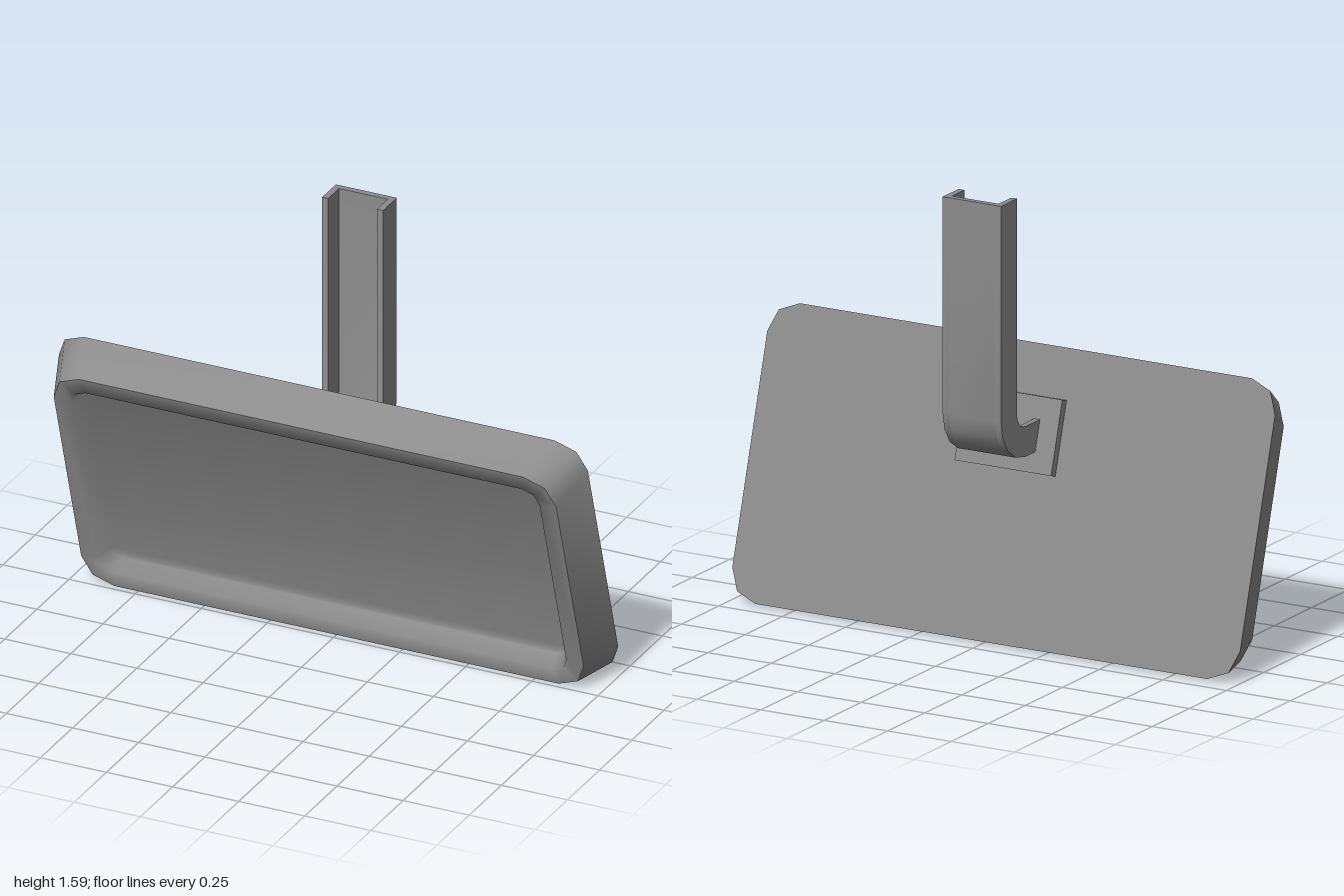
import * as THREE from 'three';
import { toCreasedNormals } from 'three/addons/utils/BufferGeometryUtils.js';

const grey = new THREE.MeshStandardMaterial({ color: 0x8c8c8c });
grey.name = 'painted grey metal';

function part(name, geometry) {
  const mesh = new THREE.Mesh(geometry, grey);
  mesh.name = name;
  return mesh;
}

// Rounded rectangle loop at depth z, counter-clockwise seen from +z.
function ring(w, h, r, z) {
  const right = [];
  for (const side of [-1, 1]) {
    for (let i = 0; i <= 2; i++) {
      const a = ((side - 1) / 2 + i / 2) * Math.PI / 2;
      right.push([w - r + r * Math.cos(a), side * (h - r) + r * Math.sin(a), z]);
    }
  }
  return [...right, ...right.map(([x, y]) => [-x, y, z]).reverse()];
}

// Skin between two loops.
function loft(a, b) {
  const out = [];
  a.forEach((p, i) => {
    const j = (i + 1) % a.length;
    out.push(p, a[j], b[j], p, b[j], b[i]);
  });
  return out;
}

// Fill a loop with strips running from side to side.
function fill(loop, flip) {
  const out = [], n = loop.length;
  for (let i = 0; i < n / 2 - 1; i++) {
    const r0 = loop[i], r1 = loop[i + 1], l0 = loop[n - 1 - i], l1 = loop[n - 2 - i];
    out.push(...(flip ? [r0, l0, l1, r0, l1, r1] : [l0, r0, r1, l0, r1, l1]));
  }
  return out;
}

function surface(points, crease) {
  const g = new THREE.BufferGeometry();
  g.setAttribute('position', new THREE.Float32BufferAttribute(points.flat(), 3));
  return toCreasedNormals(g, crease);
}

// Side profile of the bent arm between two bend radii, extruded across x.
function bentBand(outer, inner, x0, x1) {
  const cz = -0.09, cy = 0.82, top = 1.585;
  const plateZ = y => 0.08 - (1 - y) * 0.303;
  const arc = r => Array.from({ length: 5 }, (_, i) => {
    const a = Math.PI * (1 + i / 8);
    return new THREE.Vector2(cz + r * Math.cos(a), cy + r * Math.sin(a));
  });
  const shape = new THREE.Shape([
    new THREE.Vector2(cz - outer, top), ...arc(outer),
    new THREE.Vector2(plateZ(cy - outer), cy - outer),
    new THREE.Vector2(plateZ(cy - inner), cy - inner),
    ...arc(inner).reverse(), new THREE.Vector2(cz - inner, top),
  ]);
  const g = new THREE.ExtrudeGeometry(shape, { depth: x1 - x0, bevelEnabled: false });
  g.rotateY(-Math.PI / 2).translate(x1, 0, 0);
  return toCreasedNormals(g, 0.6);
}

export function createModel() {
  const model = new THREE.Group();
  model.name = 'wallLamp';

  // Tilted head: tapered housing with a softly shaded recessed front
  const head = new THREE.Group();
  head.name = 'head';
  head.position.set(0, 0.503, -0.04);
  head.rotation.x = 0.294;
  const back = ring(1, 0.517, 0.11, 0);
  const front = ring(0.95, 0.477, 0.11, 0.162);
  const lip = ring(0.885, 0.416, 0.06, 0.16);
  const floor = ring(0.86, 0.396, 0.04, 0.1);
  head.add(part('housing', surface([...fill(back, true), ...loft(back, front)], 0.9)));
  head.add(part('recessedFront', surface(
    [...loft(front, lip), ...loft(lip, floor), ...fill(floor, false)], 1.5)));

  // Mounting plate on the back
  const plate = part('mountingPlate', new THREE.BoxGeometry(0.38, 0.262, 0.03));
  plate.position.set(0, 0.209, -0.015);
  head.add(plate);
  model.add(head);

  // Bent channel arm: web with two flanges
  const arm = new THREE.Group();
  arm.name = 'arm';
  arm.add(part('armWeb', bentBand(0.165, 0.142, -0.092, 0.092)));
  arm.add(part('armFlangeLeft', bentBand(0.165, 0.058, 0.092, 0.115)));
  arm.add(part('armFlangeRight', bentBand(0.165, 0.058, -0.115, -0.092)));
  model.add(arm);
  return model;
}
